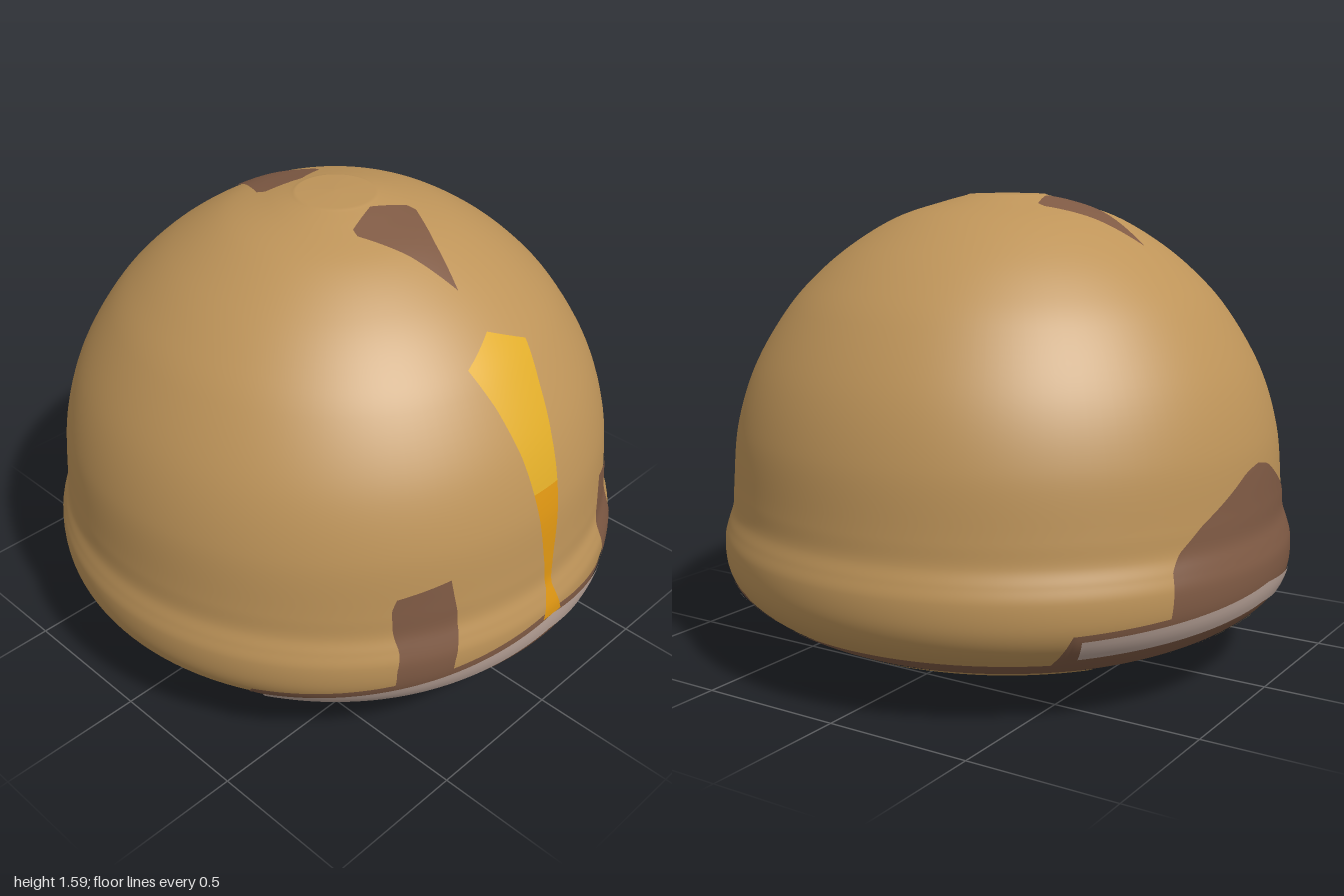
import * as THREE from 'three';

const RAD = Math.PI / 180;

// Half outline of the body: radius, height
const PROFILE = [
  [0.25, 0], [0.33, 0.018], [0.55, 0.06], [0.76, 0.13], [0.89, 0.2], [0.96, 0.265], [0.99, 0.33],
  [0.995, 0.42], [0.982, 0.47], [0.966, 0.52], [0.96, 0.6], [0.94, 0.8], [0.877, 1.0], [0.758, 1.2],
  [0.66, 1.31], [0.54, 1.41], [0.38, 1.505], [0.22, 1.558], [0.14, 1.58],
];

// Piecewise linear lookup in a list of [key, value] with rising keys
function lookup(table, k) {
  if (k <= table[0][0]) return table[0][1];
  for (let i = 1; i < table.length; i++) {
    const [k0, v0] = table[i - 1], [k1, v1] = table[i];
    if (k <= k1) return v0 + (v1 - v0) * (k - k0) / (k1 - k0);
  }
  return table[table.length - 1][1];
}

export function createModel() {
  const group = new THREE.Group();
  const paint = (name, color) => {
    const m = new THREE.MeshStandardMaterial({ color });
    m.name = name;
    return m;
  };
  const tan = paint('tan', 0xbe9459);
  const brown = paint('brown', 0x7f5a44);
  const silver = paint('pale grey', 0xbaa499);
  const yellow = paint('yellow', 0xe0ac28);
  const orange = paint('orange', 0xdd9512);

  const add = (name, geometry, material) => {
    const mesh = new THREE.Mesh(geometry, material);
    mesh.name = name;
    group.add(mesh);
    return mesh;
  };

  // Smooth body outline and lookups along it
  const outline = new THREE.CatmullRomCurve3(PROFILE.map(([r, y]) => new THREE.Vector3(r, y, 0)), false, 'centripetal')
    .getPoints(144).map(p => new THREE.Vector2(p.x, p.y));
  const byHeight = outline.map(p => [p.y, p.x]);
  const byRadius = outline.map(p => [p.x, p.y]);
  const radiusAt = y => lookup(byHeight, y);
  const domeHeight = byRadius.filter(p => p[1] > 0.9).reverse();
  const baseHeight = byRadius.filter(p => p[1] < 0.34);

  // Point on the body at angle a (0 = +x, toward +z), lifted along the normal
  const onBody = (a, y, lift) => {
    const slope = (radiusAt(y + 0.004) - radiusAt(y - 0.004)) / 0.008;
    const n = Math.hypot(1, slope);
    const r = radiusAt(y) + lift / n;
    return [r * Math.cos(a), y - lift * slope / n, r * Math.sin(a)];
  };

  // Thin painted plate following the body; at(u, v) gives [angle, height]
  const plate = (name, material, lift, nu, nv, at) => {
    const pos = [], index = [];
    for (let i = 0; i <= nu; i++) {
      for (let j = 0; j <= nv; j++) {
        const [a, y] = at(i / nu, j / nv);
        pos.push(...onBody(a, y, lift));
        if (i < nu && j < nv) {
          const p = i * (nv + 1) + j, q = p + nv + 1;
          index.push(p, p + 1, q, q, p + 1, q + 1);
        }
      }
    }
    const g = new THREE.BufferGeometry();
    g.setAttribute('position', new THREE.Float32BufferAttribute(pos, 3));
    g.setIndex(index);
    g.computeVertexNormals();
    return add(name, g, material);
  };
  const mix = THREE.MathUtils.lerp;

  // Body shell with a slightly raised cap
  add('body', new THREE.LatheGeometry([...outline, new THREE.Vector2(0.13, 1.584), new THREE.Vector2(0, 1.588)], 128), tan);

  // Disc closing the underside, shaded as a continuation of the inner shell
  const disc = new THREE.CircleGeometry(0.25, 64).rotateX(Math.PI / 2);
  const normals = disc.attributes.normal;
  for (let i = 0; i < normals.count; i++) normals.setXYZ(i, 0, 1, 0);
  add('baseDisc', disc, tan);

  // Upper edge of the pale trim on the +x and -x sides
  const trimTop = a => (Math.cos(a) > 0 ? 0.4 - 0.14 * Math.abs(Math.sin(a)) : 0.36 - 0.08 * Math.abs(Math.sin(a)));

  // Brown underside, rising behind the trim on both sides
  const baseEdge = a => {
    const d = Math.abs(a) / RAD;
    const t = Math.min(lookup([[61, 1], [64, 0]], d) + lookup([[131, 0], [134, 1]], d), 1);
    return mix(0.205, trimTop(a) + 0.018, t);
  };
  plate('underside', brown, 0.003, 360, 28, (u, v) => {
    const a = mix(-Math.PI, Math.PI, u);
    return [a, mix(0.004, baseEdge(a), v)];
  });

  // Pale trim strips
  const trim = (name, centre, half) => plate(name, silver, 0.008, 90, 4, (u, v) => {
    const a = (centre + mix(-half, half, u)) * RAD;
    return [a, trimTop(a) - 0.068 * (1 - v)];
  });
  trim('leftTrim', 0, 59);
  trim('rightTrim', 180, 44.5);

  // Tan pointed loop on the underside
  plate('undersideLoop', tan, 0.006, 240, 5, (u, v) => {
    const a = mix(-Math.PI, Math.PI, u);
    const r = 0.9 - 0.31 * Math.pow(Math.abs(Math.sin(a)), 0.83);
    return [a, lookup(baseHeight, r + mix(-0.045, 0.045, v))];
  });

  // Tan panels low on the front and back
  for (const s of [1, -1]) {
    plate(s > 0 ? 'frontPanel' : 'backPanel', tan, 0.006, 60, 5, (u, v) => {
      const a = mix(56, 142, u) * RAD;
      return [s > 0 ? a : a - 198 * RAD, mix(0.1, 0.152, v)];
    });
  }

  // Brown posts on the left side; inner and outer edges by height
  const inner = [[0.3, 0.4], [0.4, 0.39], [0.5, 0.365], [0.56, 0.362], [0.69, 0.38]];
  const outer = [[0.3, 0.56], [0.4, 0.56], [0.47, 0.545], [0.55, 0.55], [0.62, 0.55], [0.66, 0.535]];
  for (const s of [1, -1]) {
    plate(s > 0 ? 'frontPost' : 'backPost', brown, 0.004, 6, 24, (u, v) => {
      const w = s > 0 ? u : 1 - u;
      const y = mix(0.3, mix(0.695, 0.66, w), v);
      const z = mix(lookup(inner, y), lookup(outer, y), w);
      return [s * Math.asin(z / radiusAt(y)), y];
    });
  }

  // Brown peaked patch on the right side
  const patchWidth = [[0.28, 28], [0.48, 27], [0.53, 25], [0.6, 19.5], [0.73, 5], [0.745, 0]];
  plate('rightPatch', brown, 0.004, 24, 40, (u, v) => {
    const y = mix(0.28, 0.745, v);
    return [Math.PI + mix(-1, 1, u) * lookup(patchWidth, y) * RAD, y];
  });

  // Tapering stripe up the left side: orange below, yellow above
  const stripe = (name, material, y0, y1, peak, table) => plate(name, material, 0.006, 8, 30, (u, v) => {
    const k = mix(-1, 1, u);
    const row = mix(y0, y1, v);
    const y = row + peak * v * (1 - Math.abs(k));
    return [Math.asin(k * lookup(table, row) / radiusAt(y)), y];
  });
  stripe('lowerStripe', orange, 0.395, 0.87, 0, [[0.395, 0.045], [0.43, 0.035], [0.5, 0.015], [0.6, 0.022], [0.87, 0.058]]);
  stripe('upperStripe', yellow, 0.87, 1.26, 0.06, [[0.87, 0.058], [1.0, 0.075], [1.15, 0.105], [1.26, 0.138]]);

  // Brown kite marks beside the crown
  const kite = [[0.155, 0], [0.2, 0.125], [0.23, 0.135], [0.38, 0.06], [0.53, 0]];
  for (const s of [1, -1]) {
    plate(s > 0 ? 'leftCrownMark' : 'rightCrownMark', brown, 0.004, 10, 50, (u, v) => {
      const x = mix(0.53, 0.155, v);
      const z = mix(-1, 1, u) * lookup(kite, x);
      return [Math.atan2(z, x) + (s > 0 ? 0 : Math.PI), lookup(domeHeight, Math.hypot(x, z))];
    });
  }

  return group;
}
